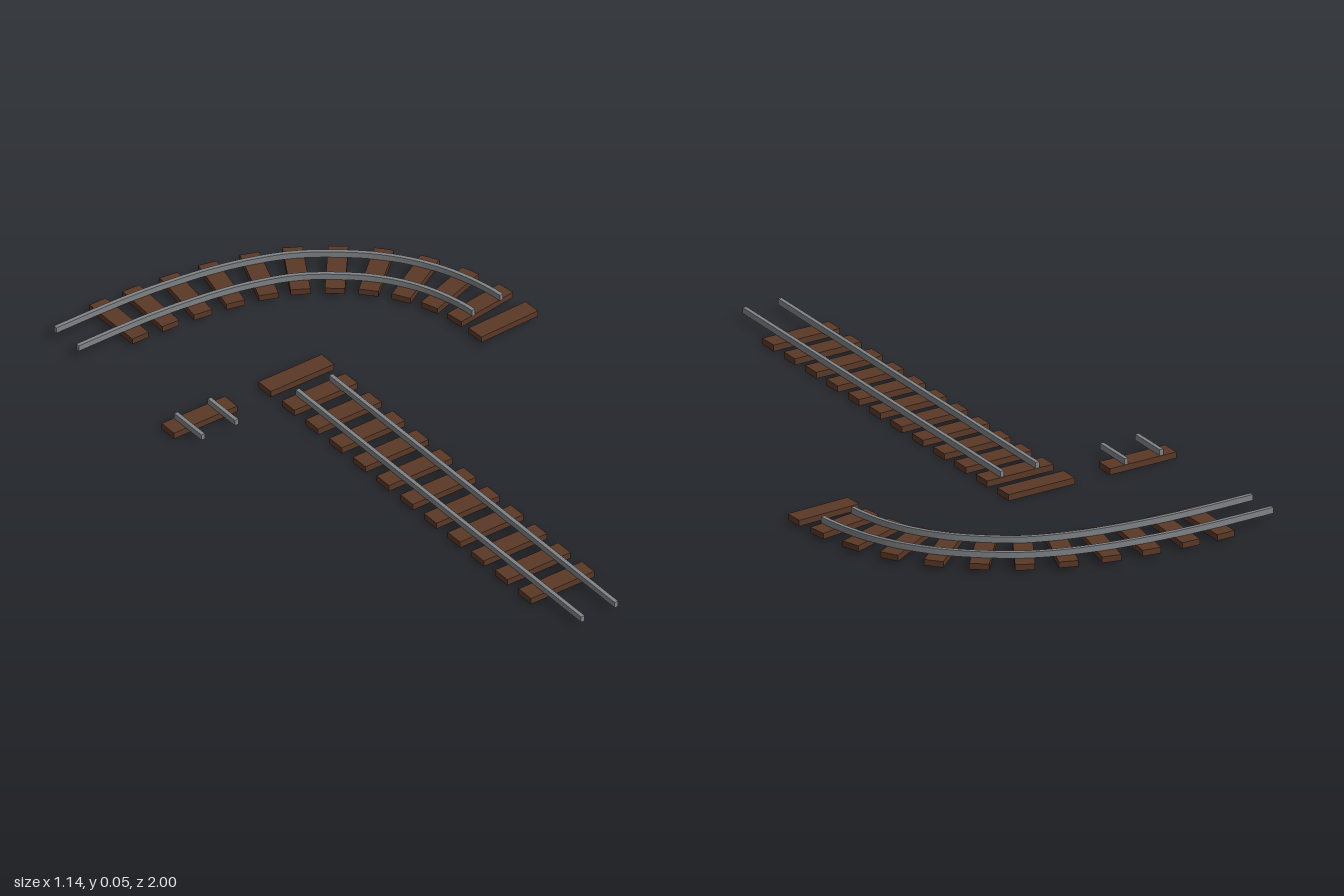
import * as THREE from 'three';

const wood = new THREE.MeshStandardMaterial({ color: 0x5a3826 });
wood.name = 'sleeper wood';
const steel = new THREE.MeshStandardMaterial({ color: 0x808487 });
steel.name = 'rail steel';

const THICK = 0.018;  // sleeper thickness
const RAIL_W = 0.012;
const RAIL_H = 0.018;

function box(parent, name, material, size, position, turn = 0) {
  const mesh = new THREE.Mesh(new THREE.BoxGeometry(...size), material);
  mesh.name = name;
  mesh.position.set(...position);
  mesh.rotation.y = turn;
  parent.add(mesh);
}

// Straight length: sleepers across x, two rails along z
function straightTrack(name, x, sleeperZs, railXs, z0, z1) {
  const group = new THREE.Group();
  group.name = name;
  for (const z of sleeperZs) {
    box(group, 'sleeper', wood, [0.217, THICK + 0.001, 0.058], [x, (THICK + 0.001) / 2, z]);
  }
  for (const rx of railXs) {
    box(group, 'rail', steel, [RAIL_W, RAIL_H, z1 - z0], [rx, 0.019 + RAIL_H / 2, (z0 + z1) / 2]);
  }
  return group;
}

// Sleeper centres (x, z) and heading in degrees along the bend
const BEND = [
  [-0.384, -0.9, 0], [-0.278, -0.896, 3], [-0.166, -0.885, 8], [-0.056, -0.868, 13.5],
  [0.052, -0.84, 21], [0.151, -0.8, 30], [0.243, -0.738, 39], [0.325, -0.664, 49],
  [0.392, -0.573, 60], [0.437, -0.474, 71], [0.463, -0.368, 82], [0.468, -0.267, 88],
];

// Rail swept along the centre line at a sideways offset
function bentRail(offset) {
  const line = [[-0.565, -0.9, 0], ...BEND.slice(0, 11), [0.466, -0.338, 84]];
  const curve = new THREE.CatmullRomCurve3(line.map(([x, z]) => new THREE.Vector3(x, 0, z)));
  const left = [], right = [];
  const steps = 48;
  for (let i = 0; i <= steps; i++) {
    const p = curve.getPointAt(i / steps);
    const t = curve.getTangentAt(i / steps);
    const side = (d) => new THREE.Vector2(p.x + t.z * d, -(p.z - t.x * d));
    left.push(side(offset + RAIL_W / 2));
    right.unshift(side(offset - RAIL_W / 2));
  }
  const geometry = new THREE.ExtrudeGeometry(new THREE.Shape([...left, ...right]), {
    depth: RAIL_H, bevelEnabled: false,
  });
  geometry.rotateX(-Math.PI / 2);
  const mesh = new THREE.Mesh(geometry, steel);
  mesh.name = 'bentRail';
  mesh.position.y = 0.028;
  return mesh;
}

function curvedTrack() {
  const group = new THREE.Group();
  group.name = 'curvedTrack';
  for (const [x, z, deg] of BEND) {
    box(group, 'sleeper', wood, [0.056, THICK, 0.2], [x, 0.01 + THICK / 2, z],
      -THREE.MathUtils.degToRad(deg));
  }
  for (const offset of [-0.0525, 0.0525]) group.add(bentRail(offset));
  return group;
}

export function createModel() {
  const model = new THREE.Group();
  model.name = 'railTracks';
  const zs = Array.from({ length: 12 }, (_, i) => -0.413 + i * 0.1102);
  model.add(straightTrack('straightTrack', -0.135, zs, [-0.192, -0.077], -0.33, 1));
  model.add(straightTrack('shortTrack', -0.467, [-0.413], [-0.528, -0.413], -0.44, -0.313));
  model.add(curvedTrack());
  return model;
}
